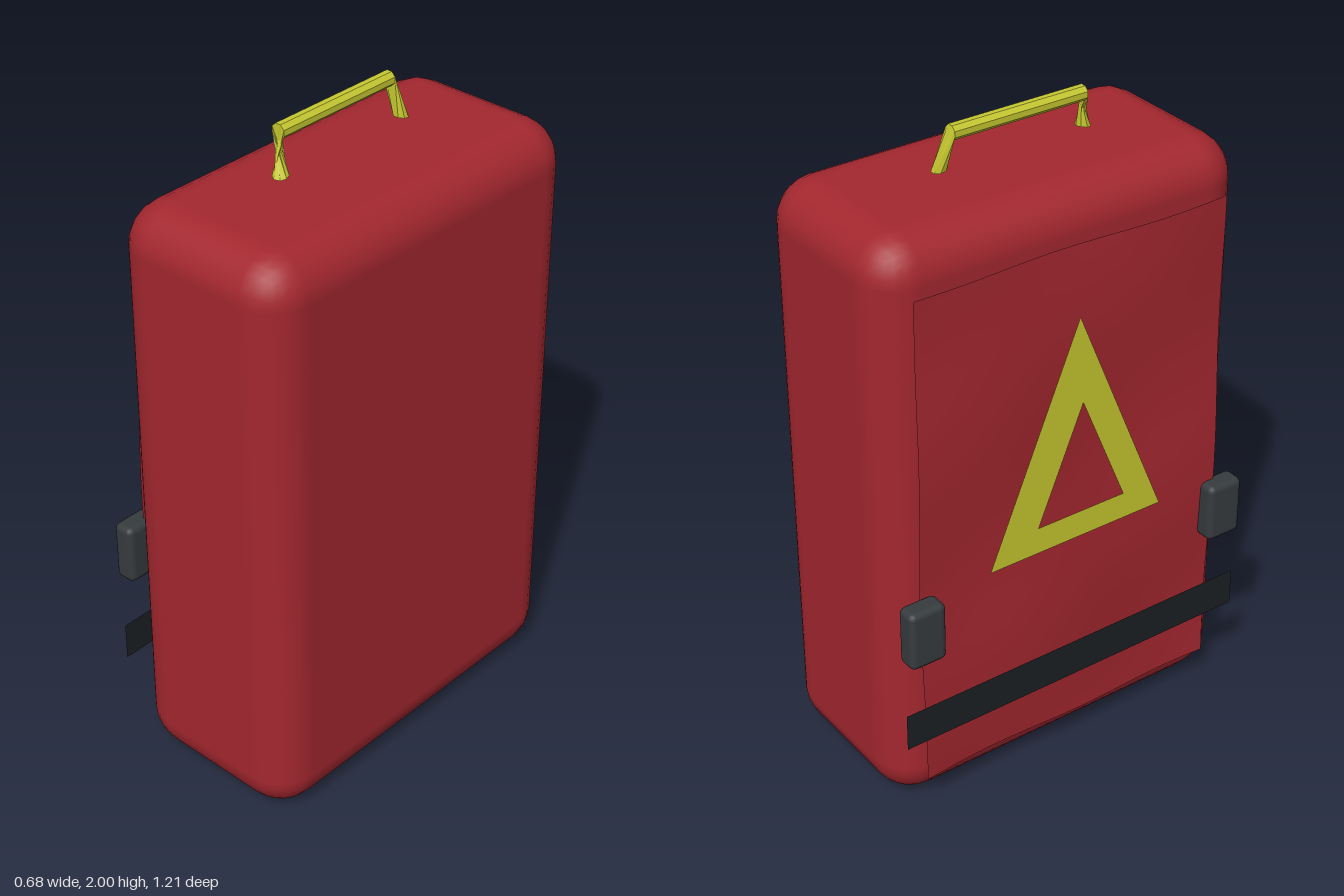
import * as THREE from 'three';
import { RoundedBoxGeometry } from 'three/addons/geometries/RoundedBoxGeometry.js';

const mat = (color, options = {}) => new THREE.MeshStandardMaterial({ color, ...options });

export function createModel() {
  const model = new THREE.Group();
  const add = (name, geometry, material, x = 0, y = 0, z = 0) => {
    const mesh = new THREE.Mesh(geometry, material);
    mesh.name = name;
    mesh.position.set(x, y, z);
    model.add(mesh);
    return mesh;
  };

  const red = 0xa3272f, yellow = 0xc6c830, black = 0x1c2022, grey = 0x363b3e;

  // Case body with softly rounded edges
  add('body', new RoundedBoxGeometry(0.6, 1.835, 1.21, 3, 0.13), mat(red), 0.036, 0.92, 0);

  // Rippled fabric panel on the -x side
  const panel = new THREE.PlaneGeometry(1.03, 1.58, 14, 18);
  panel.rotateY(-Math.PI / 2);
  const p = panel.attributes.position;
  for (let i = 0; i < p.count; i++) {
    const y = p.getY(i), z = p.getZ(i);
    const ripple = 0.007 * Math.sin(9 * z + 2.5 * y) + 0.006 * Math.sin(7 * y - 4 * z + 1);
    p.setX(i, ripple);
  }
  panel.computeVertexNormals();
  add('panel', panel, mat(red, { side: THREE.DoubleSide }), -0.281, 0.9, 0);

  // Warning triangle outline on the panel
  const triangle = (Type, half, base, apex, shift) => {
    const path = new Type();
    path.moveTo(shift - half, base);
    path.lineTo(shift + half, base);
    path.lineTo(shift, apex);
    path.closePath();
    return path;
  };
  const outline = triangle(THREE.Shape, 0.3, 0.765, 1.485, 0);
  outline.holes.push(triangle(THREE.Path, 0.15, 0.85, 1.21, 0.015));
  const sign = new THREE.ShapeGeometry(outline);
  sign.rotateY(-Math.PI / 2);
  add('triangle', sign, mat(yellow, { side: THREE.DoubleSide }), -0.303, 0, 0);

  // Flat strap across the panel
  const strap = new THREE.PlaneGeometry(1.19, 0.12);
  strap.rotateY(-Math.PI / 2);
  add('strap', strap, mat(black, { side: THREE.DoubleSide }), -0.31, 0.338, 0);

  // Side buckles
  for (const side of [-1, 1]) {
    add(side > 0 ? 'frontBuckle' : 'backBuckle',
      new RoundedBoxGeometry(0.07, 0.19, 0.12, 2, 0.02), mat(grey), -0.305, 0.663, side * 0.53);
  }

  // Carrying handle: four rings lofted together, the front leg twisted
  const sides = 8, r = 0.023, positions = [], index = [];
  const ring = (place) => {
    for (let i = 0; i < sides; i++) positions.push(...place((i + 0.5) / sides * Math.PI * 2));
  };
  const foot = (z, turn, flip) => (a) =>
    [0.01 + r * Math.cos(a + turn), 1.865 + flip * 0.004 * Math.sin(a), z + flip * r * Math.sin(a + turn)];
  const barEnd = (z) => (a) => [-0.016 + r * Math.cos(a), 1.977 + r * Math.sin(a), z];
  ring(foot(-0.237, 0, -1));
  ring(barEnd(-0.217));
  ring(barEnd(0.217));
  ring(foot(0.237, 2.8, 1));
  for (let k = 0; k < 3; k++) {
    for (let i = 0; i < sides; i++) {
      const j = (i + 1) % sides, a = k * sides + i, b = k * sides + j;
      index.push(a, b, b + sides, a, b + sides, a + sides);
    }
  }
  // Caps under both feet
  for (let i = 1; i < sides - 1; i++) {
    const e = 3 * sides;
    index.push(0, i + 1, i, e, e + i, e + i + 1);
  }
  const handle = new THREE.BufferGeometry();
  handle.setAttribute('position', new THREE.Float32BufferAttribute(positions, 3));
  handle.setIndex(index);
  handle.computeVertexNormals();
  add('handle', handle, mat(yellow, { flatShading: true, side: THREE.DoubleSide }));

  return model;
}
